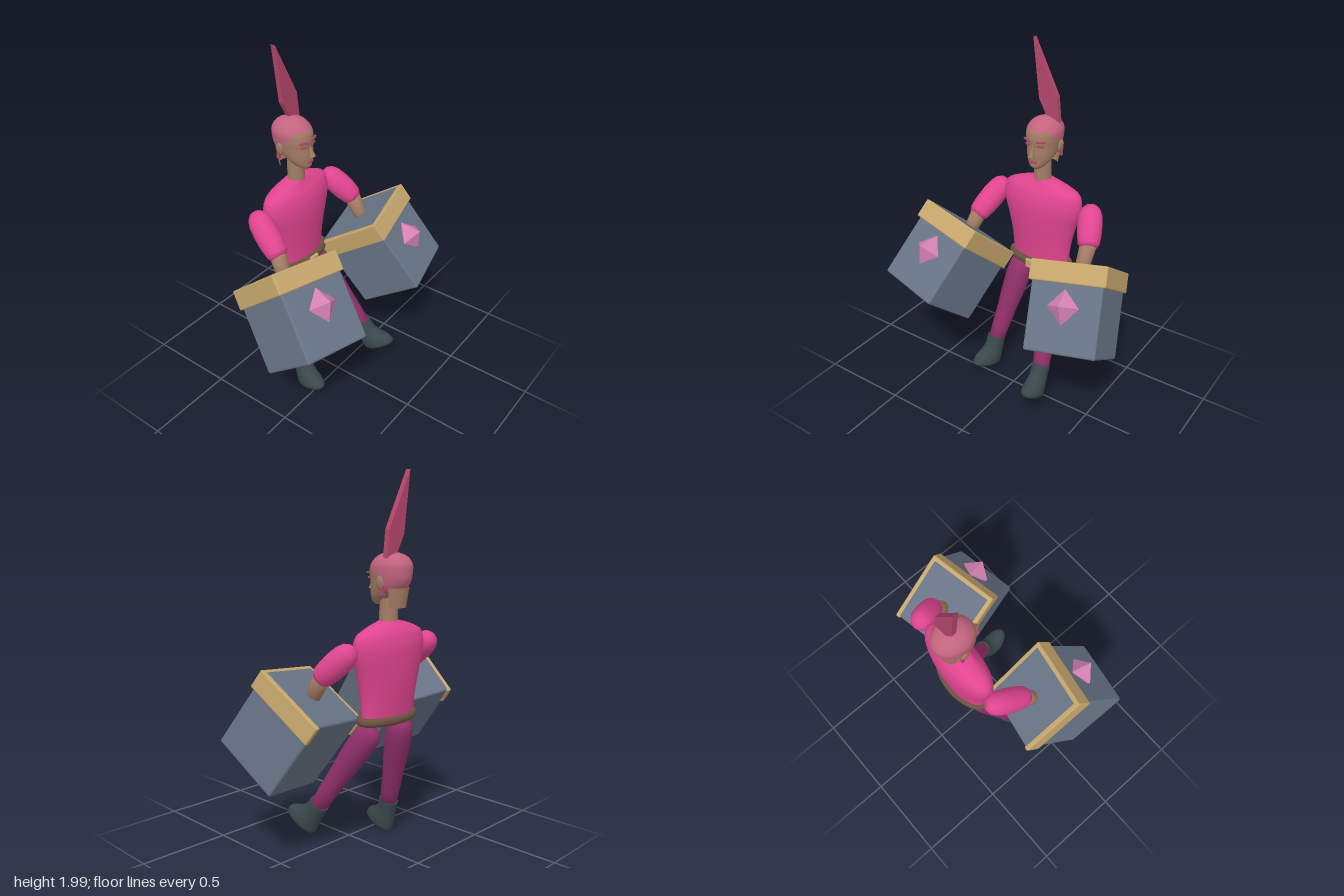
import * as THREE from 'three';
import { RoundedBoxGeometry } from 'three/addons/geometries/RoundedBoxGeometry.js';

const mat = (name, color, side = THREE.FrontSide) => {
  const m = new THREE.MeshStandardMaterial({ color, side });
  m.name = name;
  return m;
};
const M = {
  shirt: mat('shirtPink', 0xe0458f), trousers: mat('trouserPlum', 0x92306a), boot: mat('bootSlate', 0x3a484b),
  steel: mat('gauntletSteel', 0x687486), gold: mat('gold', 0xc6a66c), gem: mat('gemPink', 0xd481b1),
  skin: mat('skin', 0xa47c64, THREE.DoubleSide), belt: mat('beltBrown', 0x69523f),
  hair: mat('hairPink', 0xc3647f, THREE.DoubleSide), crest: mat('crestPink', 0xb4466c),
};

const add = (parent, name, geo, material, x = 0, y = 0, z = 0) => {
  const mesh = new THREE.Mesh(geo, material);
  mesh.name = name;
  mesh.position.set(x, y, z);
  parent.add(mesh);
  return mesh;
};

// Loft of horizontal ellipses; rows are [y, zFront, zBack, halfWidth] from bottom to top.
// keep(centre) selects which cells are made, so one surface can be split into parts.
function loft(rows, seg = 32, steps = 30, keep = () => true) {
  const depth = new THREE.CatmullRomCurve3(rows.map(r => new THREE.Vector3(r[0], r[1], r[2])), false, 'catmullrom');
  const width = new THREE.SplineCurve(rows.map(r => new THREE.Vector2(r[3], 0)));
  const rings = [];
  for (let i = 0; i <= steps; i++) {
    const d = depth.getPoint(i / steps);
    rings.push([d.x, (d.y + d.z) / 2, (d.y - d.z) / 2, width.getPoint(i / steps).x]);
  }
  // flat end caps: a collapsed ring and a doubled edge ring
  const cap = r => [[r[0], r[1], 0, 0], r];
  const all = [...cap(rings[0]), ...rings, ...cap(rings[steps]).reverse()];
  const pos = [], index = [];
  for (const [y, zc, hz, hw] of all)
    for (let j = 0; j < seg; j++) {
      const a = j / seg * Math.PI * 2;
      pos.push(hw * Math.cos(a), y, zc + hz * Math.sin(a));
    }
  const v = k => new THREE.Vector3().fromArray(pos, k * 3);
  for (let i = 0; i < all.length - 1; i++)
    for (let j = 0; j < seg; j++) {
      const a = i * seg + j, b = i * seg + (j + 1) % seg, c = a + seg, d = b + seg;
      if (keep(v(a).add(v(d)).multiplyScalar(0.5))) index.push(a, c, b, b, c, d);
    }
  const g = new THREE.BufferGeometry();
  g.setAttribute('position', new THREE.Float32BufferAttribute(pos, 3));
  g.setIndex(index);
  g.computeVertexNormals();
  return g;
}

// Round limb from p to q; profile rows are [radius, fraction along].
function limb(parent, name, p, q, profile, material) {
  const a = new THREE.Vector3(...p), dir = new THREE.Vector3(...q).sub(a), len = dir.length();
  const geo = new THREE.LatheGeometry(profile.map(([r, t]) => new THREE.Vector2(r, t * len)), 20);
  const mesh = add(parent, name, geo, material, ...p);
  mesh.quaternion.setFromUnitVectors(new THREE.Vector3(0, 1, 0), dir.normalize());
}

function makeHead() {
  const head = new THREE.Group();
  head.name = 'head';
  const rows = [
    [1.335, -0.195, -0.25, 0.022], [1.35, -0.182, -0.28, 0.042], [1.38, -0.18, -0.32, 0.064], [1.42, -0.178, -0.38, 0.08],
    [1.46, -0.181, -0.405, 0.089], [1.5, -0.178, -0.412, 0.095], [1.54, -0.188, -0.41, 0.094], [1.575, -0.22, -0.385, 0.073],
    [1.592, -0.255, -0.345, 0.042], [1.6, -0.285, -0.315, 0.012],
  ];
  const hairline = z => z > -0.235 ? 1.545 : z > -0.3 ? 1.5 : 1.4;
  const isHair = c => c.y > hairline(c.z);
  add(head, 'face', loft(rows, 48, 54, c => !isHair(c)), M.skin);
  add(head, 'hair', loft(rows, 48, 54, isHair), M.hair);
  add(head, 'neck', new THREE.CylinderGeometry(0.046, 0.048, 0.14, 20), M.skin, 0, 1.3, -0.28);
  // open shell of skin at the nape
  const nape = add(head, 'nape', new THREE.CylinderGeometry(0.075, 0.06, 0.1, 16, 1, true, Math.PI * 0.6, Math.PI * 0.8),
    M.skin, 0, 1.375, -0.315);
  nape.scale.z = 1.05;
  // nose, lips, eyes, brows and ears
  const nose = add(head, 'nose', new THREE.ConeGeometry(0.017, 0.07, 8), M.skin, 0, 1.445, -0.173);
  nose.rotation.x = -0.25;
  add(head, 'lips', new THREE.BoxGeometry(0.04, 0.011, 0.008), M.crest, 0, 1.378, -0.181);
  for (const s of [-1, 1]) {
    const brow = add(head, 'brow', new THREE.BoxGeometry(0.048, 0.01, 0.008), M.crest, s * 0.042, 1.495, -0.187);
    brow.rotation.set(0, s * 0.3, s * 0.1);
    const eye = add(head, 'eye', new THREE.BoxGeometry(0.034, 0.01, 0.008), M.crest, s * 0.038, 1.47, -0.189);
    eye.rotation.y = s * 0.3;
    const ear = add(head, 'ear', new THREE.SphereGeometry(0.03, 12, 10), M.skin, s * 0.093, 1.45, -0.305);
    ear.scale.set(0.4, 1.25, 0.75);
    ear.rotation.z = -s * 0.15;
    add(head, 'earring', new THREE.BoxGeometry(0.012, 0.045, 0.018), M.crest, s * 0.09, 1.415, -0.318);
  }
  // tall flat blade of hair
  const blade = new THREE.Shape([[-0.09, 2], [-0.05, 1.685], [0, 1.595], [0.075, 1.57], [0.06, 1.71]]
    .map(p => new THREE.Vector2(...p)));
  add(head, 'hairBlade', new THREE.ExtrudeGeometry(blade, { depth: 0.028, bevelEnabled: false }), M.crest, 0, 0, -0.335);
  return head;
}

// Box gauntlet: local x is its width, y points out of the cuff, z out of the gem face.
function makeGauntlet(name, centre, xAxis, zAxis) {
  const g = new THREE.Group();
  g.name = name;
  add(g, 'gauntletBody', new RoundedBoxGeometry(0.385, 0.47, 0.405, 2, 0.012), M.steel);
  for (const s of [-1, 1])
    add(g, 'sideTrim', new RoundedBoxGeometry(0.03, 0.11, 0.425, 2, 0.008), M.gold, s * 0.192, 0.18, 0.003);
  add(g, 'frontTrim', new RoundedBoxGeometry(0.412, 0.11, 0.03, 2, 0.008), M.gold, 0, 0.18, 0.2);
  const gemGeo = new THREE.OctahedronGeometry(1);
  gemGeo.scale(0.085, 0.092, 0.075);
  add(g, 'gem', gemGeo, M.gem, 0, 0.005, 0.215);
  const x = new THREE.Vector3(...xAxis).normalize();
  const y = new THREE.Vector3(...zAxis).cross(x).normalize();
  g.quaternion.setFromRotationMatrix(new THREE.Matrix4().makeBasis(x, y, x.clone().cross(y)));
  g.position.set(...centre);
  return g;
}

// Trouser leg and boot; pitch follows the swing of the leg.
function makeLeg(name, hip, ankle, pitch, yaw) {
  const g = new THREE.Group();
  g.name = name;
  limb(g, 'trouserLeg', hip, ankle, [[0, -0.04], [0.035, -0.03], [0.06, 0], [0.071, 0.07], [0.073, 0.18], [0.067, 0.4],
    [0.058, 0.6], [0.053, 0.8], [0.046, 1], [0, 1]], M.trousers);
  const boot = add(g, 'boot', loft([
    [-0.16, 0.135, -0.055, 0.046], [-0.145, 0.148, -0.06, 0.056], [-0.115, 0.135, -0.06, 0.057], [-0.08, 0.095, -0.057, 0.053],
    [-0.04, 0.066, -0.055, 0.05], [0.02, 0.058, -0.056, 0.05],
  ], 24, 20), M.boot, ...ankle);
  boot.rotation.set(-pitch, yaw, 0, 'YXZ');
  return g;
}

function makeArm(name, shoulder, elbow, wrist) {
  const g = new THREE.Group();
  g.name = name;
  limb(g, 'sleeve', shoulder, elbow, [[0, -0.32], [0.03, -0.28], [0.052, -0.15], [0.064, 0.05], [0.068, 0.35], [0.066, 0.7],
    [0.058, 1], [0.045, 1.12], [0, 1.15]], M.shirt);
  limb(g, 'forearm', elbow, wrist, [[0, -0.1], [0.046, -0.1], [0.042, 0.5], [0.038, 1.2], [0, 1.2]], M.skin);
  return g;
}

export function createModel() {
  const model = new THREE.Group();
  model.name = 'boxFistedFighter';
  model.add(makeHead());

  // torso, belt and buckle
  add(model, 'torso', loft([
    [0.76, -0.2, -0.36, 0.18], [0.82, -0.197, -0.366, 0.183], [0.9, -0.19, -0.376, 0.192], [1.0, -0.181, -0.386, 0.215],
    [1.08, -0.178, -0.39, 0.238], [1.14, -0.184, -0.388, 0.244], [1.19, -0.2, -0.375, 0.23], [1.217, -0.215, -0.36, 0.185],
    [1.24, -0.228, -0.342, 0.12], [1.256, -0.235, -0.33, 0.055],
  ], 40, 45), M.shirt);
  add(model, 'belt', loft([
    [0.733, -0.18, -0.37, 0.19], [0.742, -0.172, -0.379, 0.2], [0.755, -0.17, -0.382, 0.203],
    [0.768, -0.172, -0.379, 0.2], [0.777, -0.18, -0.37, 0.19],
  ], 40, 8), M.belt);
  add(model, 'buckle', new RoundedBoxGeometry(0.062, 0.054, 0.02, 2, 0.006), M.gold, 0, 0.755, -0.168);

  // limbs are posed differently on each side
  model.add(
    makeLeg('rightLeg', [-0.115, 0.7, -0.27], [-0.205, 0.18, -0.11], 0.27, -0.2),
    makeLeg('leftLeg', [0.112, 0.695, -0.265], [0.208, 0.235, 0.03], 0.54, 0.15),
    makeArm('rightArm', [-0.293, 1.115, -0.29], [-0.335, 1.0, -0.14], [-0.355, 0.915, -0.088]),
    makeArm('leftArm', [0.305, 1.115, -0.285], [0.362, 1.0, -0.175], [0.366, 0.89, -0.11]),
    makeGauntlet('rightGauntlet', [-0.403, 0.748, 0.06], [0.972, -0.11, 0.2], [-0.08, 0.656, 0.747]),
    makeGauntlet('leftGauntlet', [0.41, 0.705, 0.015], [0.972, 0.112, -0.207], [0.118, 0.567, 0.816]),
  );
  return model;
}
